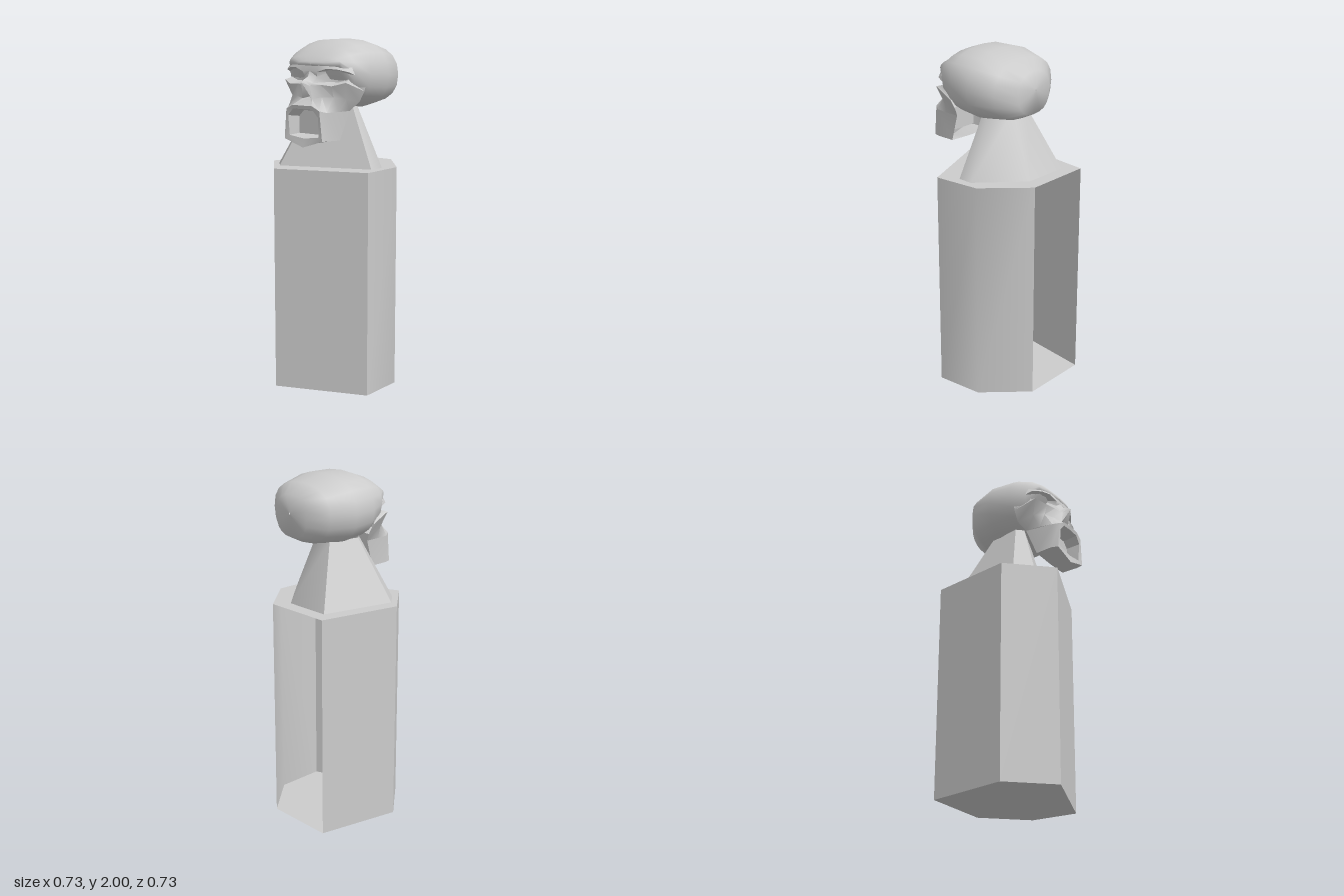
import * as THREE from 'three';
import { mergeVertices, toCreasedNormals } from 'three/addons/utils/BufferGeometryUtils.js';

const material = new THREE.MeshStandardMaterial({ color: 0xcccccc, side: THREE.DoubleSide });

function meshFrom(name, points, index, crease) {
  const g = new THREE.BufferGeometry();
  g.setAttribute('position', new THREE.Float32BufferAttribute(points.flat(), 3));
  g.setIndex(index);
  const mesh = new THREE.Mesh(toCreasedNormals(g, crease), material);
  mesh.name = name;
  return mesh;
}

// Joins equal-length rows of points; "closed" wraps each row round
function loft(name, rows, { closed = false, crease = 0.8, skip = -1 } = {}) {
  const n = rows[0].length, index = [];
  for (let r = 0; r < rows.length - 1; r++) {
    for (let c = 0; c < (closed ? n : n - 1); c++) {
      if (c === skip) continue;
      const a = r * n + c, b = r * n + (c + 1) % n;
      index.push(a, b, b + n, a, b + n, a + n);
    }
  }
  return meshFrom(name, rows.flat(), index, crease);
}

// Half grid plus its mirror image, joined along x = 0
function mirroredGrid(name, rows, crease) {
  const points = [], index = [], n = rows[0].length;
  for (const s of [1, -1]) {
    const base = points.length;
    rows.flat().forEach(([x, y, z]) => points.push([s * x, y, z]));
    const tri = (a, b, c) => {
      const key = i => points[i].join();
      if (key(a) === key(b) || key(b) === key(c) || key(a) === key(c)) return;
      index.push(...(s > 0 ? [a, c, b] : [a, b, c]));
    };
    for (let r = 0; r < rows.length - 1; r++) {
      for (let c = 0; c < n - 1; c++) {
        const a = base + r * n + c;
        tri(a, a + 1, a + n + 1);
        tri(a, a + n + 1, a + n);
      }
    }
  }
  return meshFrom(name, points, index, crease);
}

const level = (outline, y) => outline.map(([x, z]) => [x, y, z]);

function flatPanel(name, outline, hole, y) {
  const toShape = (S, pts) => new S(pts.map(([x, z]) => new THREE.Vector2(x, -z)));
  const shape = toShape(THREE.Shape, outline);
  if (hole) shape.holes.push(toShape(THREE.Path, hole));
  const mesh = new THREE.Mesh(new THREE.ShapeGeometry(shape).rotateX(-Math.PI / 2), material);
  mesh.position.y = y;
  mesh.name = name;
  return mesh;
}

function createPedestal() {
  const group = new THREE.Group();
  group.name = 'pedestal';
  const outer = [[-0.145, 0.36], [0.365, 0.15], [0.35, -0.13], [0.13, -0.365], [-0.285, -0.36], [-0.365, 0.125]];
  const inner = [[-0.205, 0.245], [0.3, 0.04], [0.305, -0.05], [0.075, -0.28], [-0.21, -0.28], [-0.29, 0.155]];
  const neck = inner.map(([x, z]) => [0.006 + x * 0.42, -0.008 + z * 0.42]);
  // Hollow column, open at the back
  group.add(loft('columnWalls', [level(outer, 0), level(outer, 1.28)], { closed: true, crease: 0.87, skip: 3 }));
  group.add(flatPanel('columnFloor', outer, null, 0));
  group.add(flatPanel('columnRim', outer, inner, 1.28));
  // Tapered neck support
  group.add(loft('neckSupport', [level(inner, 1.28), level(neck, 1.64)], { closed: true, crease: 0.81 }));
  return group;
}

// Rounded braincase: sections from back to front as [z, half width, top, bottom]
function createCranium() {
  const sections = [
    [-0.3, 0.004, 1.805, 1.795], [-0.288, 0.13, 1.905, 1.665], [-0.21, 0.242, 1.962, 1.628],
    [-0.06, 0.29, 1.997, 1.61], [0.08, 0.275, 1.997, 1.625], [0.17, 0.24, 1.965, 1.69],
    [0.235, 0.185, 1.91, 1.835], [0.262, 0.1, 1.882, 1.85], [0.266, 0.003, 1.87, 1.865],
  ];
  const sides = 20, power = 2 / 2.35;
  const bend = v => Math.sign(v) * Math.abs(v) ** power;
  const rows = sections.map(([z, w, top, bottom]) => Array.from({ length: sides }, (_, i) => {
    const a = i / sides * Math.PI * 2;
    return [w * bend(Math.cos(a)), (top + bottom) / 2 + (top - bottom) / 2 * bend(Math.sin(a)), z];
  }));
  const g = loft('cranium', rows, { closed: true });
  g.geometry.deleteAttribute('normal');
  g.geometry = mergeVertices(g.geometry, 1e-4);
  g.geometry.computeVertexNormals();
  return g;
}

// Face rows run from brow to upper lip, each from the middle to the side
const faceRows = [
  [[0, 1.88, 0.255], [0.06, 1.885, 0.255], [0.12, 1.88, 0.24], [0.18, 1.87, 0.215], [0.225, 1.86, 0.175], [0.24, 1.85, 0.1]],
  [[0, 1.83, 0.275], [0.05, 1.825, 0.275], [0.11, 1.845, 0.265], [0.17, 1.842, 0.245], [0.225, 1.828, 0.21], [0.255, 1.82, 0.1]],
  [[0, 1.8, 0.29], [0.045, 1.8, 0.265], [0.1, 1.83, 0.2], [0.16, 1.825, 0.195], [0.205, 1.81, 0.185], [0.255, 1.78, 0.1]],
  [[0, 1.785, 0.325], [0.03, 1.765, 0.285], [0.09, 1.77, 0.215], [0.15, 1.77, 0.205], [0.205, 1.785, 0.19], [0.25, 1.74, 0.1]],
  [[0, 1.77, 0.343], [0.025, 1.75, 0.3], [0.08, 1.758, 0.28], [0.15, 1.752, 0.268], [0.222, 1.772, 0.232], [0.245, 1.72, 0.1]],
  [[0, 1.69, 0.272], [0.035, 1.68, 0.298], [0.09, 1.69, 0.277], [0.15, 1.69, 0.25], [0.195, 1.68, 0.2], [0.21, 1.66, 0.1]],
  [[0, 1.645, 0.345], [0.07, 1.645, 0.34], [0.12, 1.62, 0.335], [0.145, 1.61, 0.3], [0.16, 1.61, 0.22], [0.165, 1.61, 0.13]],
];

// Jaw rows follow the mouth from top to bottom: mouth back, inner edge, lip, front, side, rear
const mouthBack = [0, 1.54, 0.25];
const jawRows = [
  [mouthBack, [0, 1.61, 0.25], [0, 1.625, 0.34], [0, 1.645, 0.345], [0, 1.645, 0.345], [0, 1.645, 0.345]],
  [mouthBack, [0.065, 1.61, 0.25], [0.07, 1.625, 0.336], [0.07, 1.645, 0.34], [0.07, 1.645, 0.34], [0.07, 1.645, 0.34]],
  [mouthBack, [0.1, 1.575, 0.25], [0.108, 1.585, 0.333], [0.12, 1.62, 0.335], [0.145, 1.61, 0.3], [0.165, 1.61, 0.13]],
  [mouthBack, [0.1, 1.48, 0.25], [0.105, 1.475, 0.325], [0.137, 1.455, 0.332], [0.15, 1.455, 0.29], [0.145, 1.45, 0.19]],
  [mouthBack, [0, 1.48, 0.25], [0, 1.462, 0.325], [0, 1.413, 0.335], [0, 1.425, 0.27], [0, 1.445, 0.19]],
];

export function createModel() {
  const model = new THREE.Group();
  model.name = 'skullOnPedestal';
  const skull = new THREE.Group();
  skull.name = 'skull';
  skull.add(createCranium(), mirroredGrid('face', faceRows, 0.8), mirroredGrid('jaw', jawRows, 0.7));
  skull.position.x = 0.052;
  model.add(createPedestal(), skull);
  return model;
}
